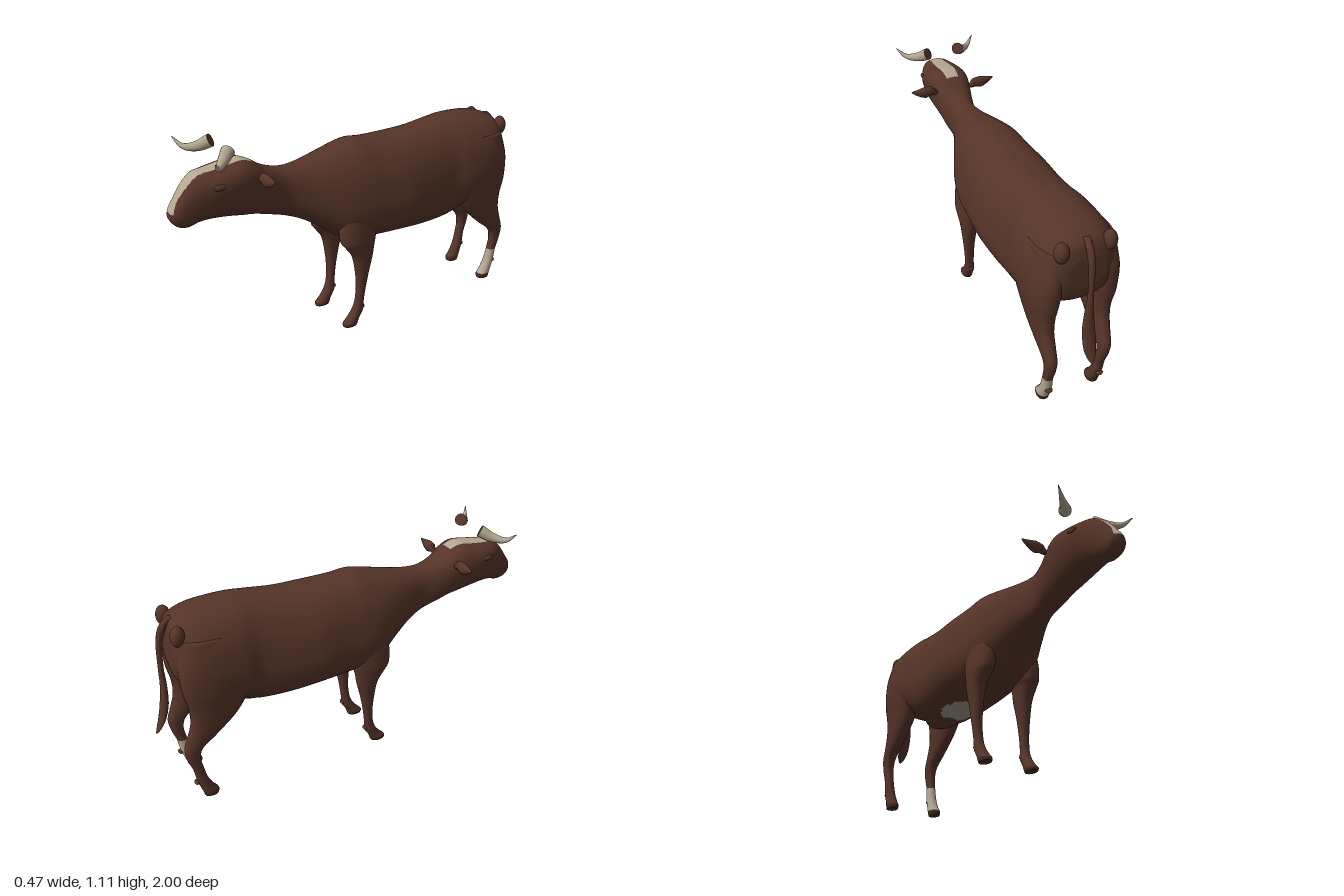
import * as THREE from 'three';

const mat = (name, color) => Object.assign(new THREE.MeshStandardMaterial({ color }), { name });
const brown = mat('brownCoat', 0x563428);
const cream = mat('creamMarking', 0xb4a791);
const grey = mat('bellyGrey', 0x9a938a);
const dark = mat('hoofBrown', 0x462a20);
const horn = mat('hornCream', 0xb0a48c);
const mats = [brown, cream, grey, dark];

// Smooth curve through every column of the stations
function refine(stations, steps) {
  const out = [], n = stations.length;
  for (let i = 0; i < n - 1; i++) {
    const [a, b, c, d] = [i - 1, i, i + 1, i + 2].map(k => stations[Math.min(n - 1, Math.max(0, k))]);
    for (let k = 0; k < steps; k++) {
      const t = k / steps;
      out.push(b.map((v, q) => v + 0.5 * t * (c[q] - a[q] + t * (2 * a[q] - 5 * v + 4 * c[q] - d[q]
        + t * (3 * (v - c[q]) + d[q] - a[q])))));
    }
  }
  out.push(stations[n - 1]);
  return out;
}

// Skin over stations [s, high, low, xCentre, halfWidth, taper]; s runs along z (forward) or y (downward)
function loft(name, stations, { along = 'y', seg = 24, steps = 4, n = 2, paint = () => 0 } = {}) {
  const rows = refine(stations, steps), pos = [], faces = [[], [], [], []];
  const put = (x, v, s) => (along === 'z' ? pos.push(x, v, s) : pos.push(x, s, v));
  const pow = v => Math.sign(v) * Math.abs(v) ** (2 / n);
  for (const [s, hi, lo, xc, hw, taper = 0] of rows) {
    for (let j = 0; j < seg; j++) {
      const a = (j + 0.5) / seg * Math.PI * 2, sn = pow(Math.sin(a));
      put(xc + hw * pow(Math.cos(a)) * (1 - taper * sn), (hi + lo) / 2 + (hi - lo) / 2 * sn, s);
    }
  }
  const ends = [rows[0], rows[rows.length - 1]].map(r => {
    put(r[3], (r[1] + r[2]) / 2, r[0]);
    return pos.length / 3 - 1;
  });
  const mid = (q, k) => q.reduce((sum, i) => sum + pos[i * 3 + k], 0) / q.length;
  const add = (q, tris) => faces[paint(mid(q, 0), mid(q, 1), mid(q, 2))].push(...tris);
  const last = (rows.length - 1) * seg;
  for (let j = 0; j < seg; j++) {
    const k = (j + 1) % seg;
    for (let i = 0; i < rows.length - 1; i++) {
      const a = i * seg + j, b = i * seg + k, c = a + seg, d = b + seg;
      add([a, b, c, d], [a, b, c, b, d, c]);
    }
    add([j, k, ends[0]], [k, j, ends[0]]);
    add([last + j, last + k, ends[1]], [last + j, last + k, ends[1]]);
  }
  const g = new THREE.BufferGeometry();
  g.setAttribute('position', new THREE.Float32BufferAttribute(pos, 3));
  g.setIndex(faces.flat());
  let start = 0;
  faces.forEach((f, m) => { if (f.length) g.addGroup(start, f.length, m); start += f.length; });
  g.computeVertexNormals();
  const mesh = new THREE.Mesh(g, mats);
  mesh.name = name;
  return mesh;
}

function ball(name, at, size) {
  const m = new THREE.Mesh(new THREE.SphereGeometry(1, 24, 16), brown);
  m.geometry.scale(...size);
  m.position.set(...at);
  m.name = name;
  return m;
}

// Tapered, upturned horn with a closed root
function makeHorn(s) {
  const g = new THREE.Group();
  g.name = 'horn';
  const curve = new THREE.CatmullRomCurve3([[0.085, 1.077, 0.738], [0.125, 1.048, 0.785],
    [0.178, 1.042, 0.832], [0.222, 1.082, 0.863]].map(([x, y, z]) => new THREE.Vector3(s * x, y, z)));
  const rows = 24, seg = 16, geo = new THREE.TubeGeometry(curve, rows, 0.031, seg);
  const p = geo.attributes.position, v = new THREE.Vector3();
  for (let i = 0; i < p.count; i++) {
    const t = Math.floor(i / (seg + 1)) / rows, c = curve.getPointAt(t);
    v.fromBufferAttribute(p, i).sub(c).multiplyScalar(1 - 0.95 * t ** 1.3).add(c);
    p.setXYZ(i, v.x, v.y, v.z);
  }
  geo.computeVertexNormals();
  const root = new THREE.Mesh(new THREE.CircleGeometry(0.031, seg), brown);
  root.name = 'hornRoot';
  root.position.copy(curve.getPointAt(0));
  root.lookAt(root.position.clone().sub(curve.getTangentAt(0)));
  const shell = new THREE.Mesh(geo, horn);
  shell.name = 'hornShell';
  g.add(shell, root);
  return g;
}

// Leaf-shaped ear, narrow at the root and pointed at the tip
function makeEar(s) {
  const ear = ball('ear', [s * 0.16, 0.928, 0.597], [1, 1, 1]);
  const p = ear.geometry.attributes.position;
  for (let i = 0; i < p.count; i++) {
    const x = p.getX(i), leaf = x > 0 ? 1 - 0.55 * x : 1 + 0.25 * x;
    p.setXYZ(i, x * 0.075, p.getY(i) * 0.031 * leaf + 0.014 * x * x * Math.sign(x + 0.6), p.getZ(i) * 0.021 * leaf);
  }
  if (s < 0) ear.geometry.rotateY(Math.PI);
  ear.geometry.computeVertexNormals();
  return ear;
}

export function createModel() {
  const cow = new THREE.Group();
  cow.name = 'cow';

  // Trunk, neck and head: [z, top, bottom, halfWidth, taper]
  const trunk = [
    [-0.895, 0.86, 0.70, 0.09, 0], [-0.88, 0.925, 0.64, 0.13, 0.05], [-0.84, 0.955, 0.60, 0.175, 0.1],
    [-0.75, 0.98, 0.54, 0.208, 0.13], [-0.6, 0.99, 0.48, 0.21, 0.13], [-0.5, 0.985, 0.44, 0.197, 0.13],
    [-0.35, 0.965, 0.435, 0.207, 0.13], [-0.2, 0.96, 0.445, 0.214, 0.13], [-0.05, 0.965, 0.452, 0.2, 0.15],
    [0.05, 0.975, 0.46, 0.192, 0.18], [0.15, 0.955, 0.49, 0.175, 0.15], [0.25, 0.932, 0.565, 0.138, 0.1],
    [0.35, 0.915, 0.63, 0.098, 0.05], [0.44, 0.914, 0.67, 0.074, 0], [0.53, 0.94, 0.70, 0.086, -0.05],
    [0.6, 0.985, 0.72, 0.098, -0.15], [0.66, 1.004, 0.73, 0.106, -0.2], [0.74, 0.993, 0.745, 0.108, -0.22],
    [0.81, 0.984, 0.752, 0.097, -0.22], [0.87, 0.977, 0.75, 0.078, -0.15], [0.92, 0.94, 0.737, 0.062, -0.08],
    [0.96, 0.885, 0.745, 0.052, 0], [0.985, 0.85, 0.765, 0.041, 0], [1.0, 0.825, 0.79, 0.02, 0],
  ].map(([z, t, b, w, k]) => [z, t, b, 0, w, k]);
  const blaze = y => (y > 0.93 ? 0.034 : 0.021 + 0.013 * Math.min(1, Math.abs(y - 0.88) / 0.05));
  cow.add(loft('body', trunk, {
    along: 'z', seg: 96, steps: 8, n: 2.4,
    paint: (x, y, z) => {
      if (z > 0.6 && y > 0.82 && Math.abs(x) < blaze(y)) return 1;
      if (y < 0.52 && (x / 0.095) ** 2 + ((z + 0.3) / 0.14) ** 2 < 1) return 2;
      return 0;
    },
  }));
  cow.add(ball('udder', [0, 0.475, -0.49], [0.09, 0.06, 0.13]));

  // Legs: [y, front, back, x, halfWidth]
  const front = [
    [0.74, 0.14, 0.0, 0.12, 0.05], [0.6, 0.19, -0.02, 0.125, 0.06], [0.5, 0.19, -0.01, 0.135, 0.055],
    [0.46, 0.165, 0.0, 0.14, 0.047], [0.4, 0.125, 0.01, 0.14, 0.041], [0.31, 0.107, 0.032, 0.14, 0.032],
    [0.22, 0.1, 0.05, 0.138, 0.026], [0.14, 0.107, 0.06, 0.135, 0.023], [0.09, 0.125, 0.062, 0.133, 0.026],
    [0.05, 0.155, 0.085, 0.132, 0.028], [0.025, 0.18, 0.095, 0.132, 0.03], [0.01, 0.178, 0.1, 0.132, 0.026],
  ];
  const hind = [
    [0.88, -0.62, -0.86, 0.11, 0.07], [0.75, -0.55, -0.89, 0.13, 0.079], [0.62, -0.55, -0.885, 0.14, 0.07],
    [0.52, -0.59, -0.865, 0.14, 0.056], [0.44, -0.65, -0.865, 0.14, 0.045], [0.36, -0.74, -0.89, 0.138, 0.036],
    [0.3, -0.815, -0.908, 0.137, 0.03], [0.24, -0.835, -0.9, 0.136, 0.026], [0.17, -0.825, -0.877, 0.135, 0.024],
    [0.1, -0.808, -0.865, 0.133, 0.027], [0.05, -0.782, -0.85, 0.132, 0.029], [0.02, -0.76, -0.84, 0.132, 0.031],
    [0, -0.765, -0.835, 0.132, 0.028],
  ];
  const tail = [
    [0.945, -0.85, -0.885, 0, 0.015], [0.9, -0.885, -0.925, 0, 0.016], [0.82, -0.912, -0.943, 0, 0.014],
    [0.7, -0.922, -0.948, 0, 0.013], [0.6, -0.918, -0.95, 0, 0.02], [0.5, -0.922, -0.962, 0, 0.03],
    [0.42, -0.945, -0.978, 0, 0.031], [0.37, -0.975, -0.992, 0, 0.021], [0.345, -0.995, -1.0, 0, 0.006],
  ];
  cow.add(loft('tail', tail));

  for (const s of [1, -1]) {
    const side = rows => rows.map(([y, f, b, x, w]) => [y, f, b, s * x, w]);
    // Only the left hind leg wears a pale sock
    cow.add(loft('frontLeg', side(front), { steps: 5, n: 2.2, paint: (x, y) => (y < 0.03 ? 3 : 0) }));
    cow.add(loft('hindLeg', side(hind), {
      steps: 6, n: 2.2, paint: (x, y) => (y < 0.03 ? 3 : s > 0 && y < 0.168 ? 1 : 0),
    }));
    cow.add(ball('frontDewclaw', [s * 0.133, 0.102, 0.066], [0.018, 0.012, 0.014]));
    cow.add(ball('hindDewclaw', [s * 0.133, 0.092, -0.865], [0.018, 0.012, 0.014]));
    cow.add(ball('hipPin', [s * 0.112, 0.9, -0.868], [0.033, 0.05, 0.034]));
    cow.add(ball('eyelid', [s * 0.1, 0.922, 0.79], [0.012, 0.014, 0.034]));
    cow.add(makeEar(s), makeHorn(s));
  }
  return cow;
}
